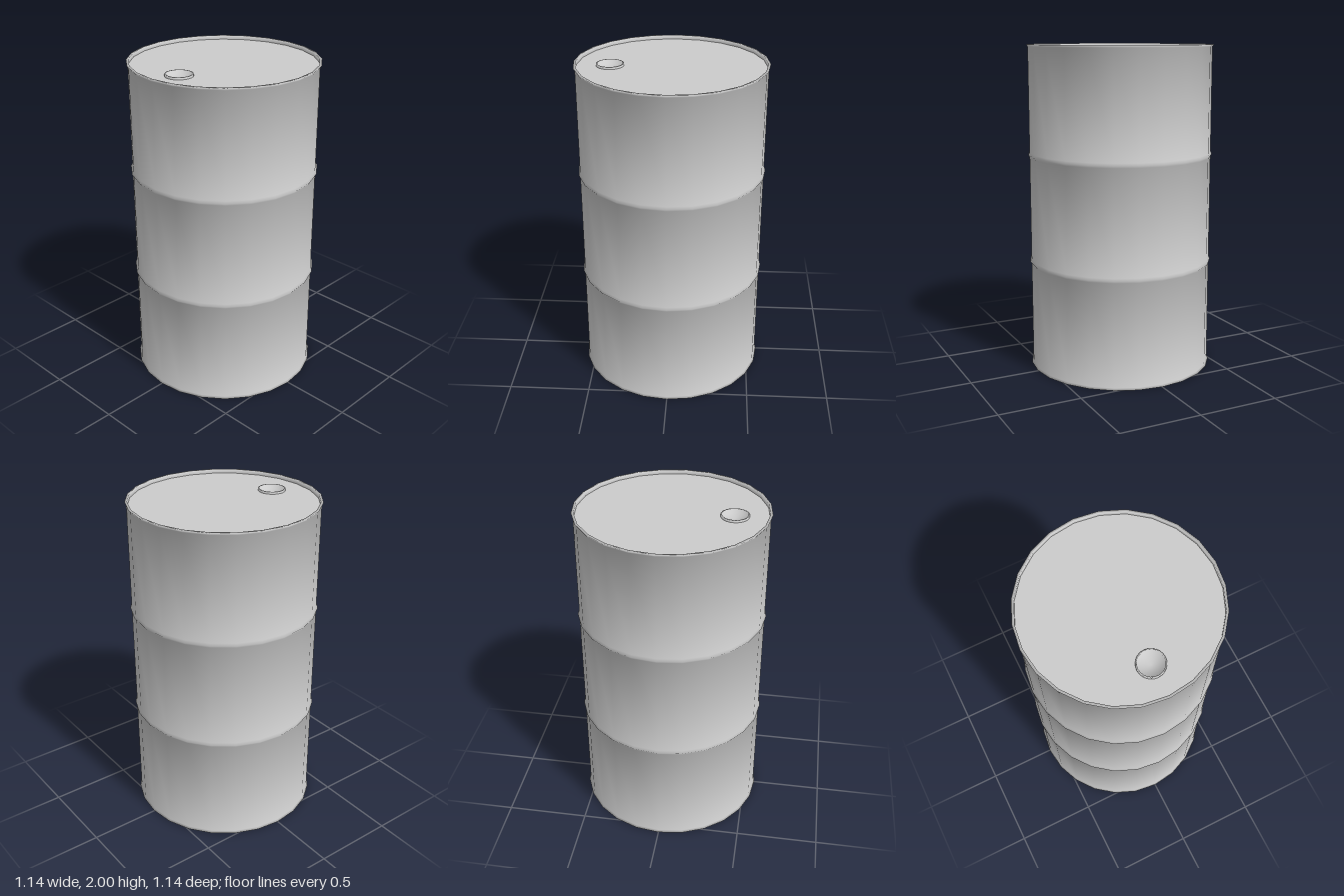
import * as THREE from 'three';

const SIDES = 24;
const R = 0.561;       // wall radius
const RIB = 0.57;      // rib and rim radius
const INNER = 0.555;   // inside of the rims
const LID_Y = 1.975;   // recessed lid height
const BASE_Y = 0.03;   // recessed bottom height

// Turned part whose normals average the neighbouring slopes equally, for soft ribs
function lathe(name, points, material) {
  const profile = points.map(([x, y]) => new THREE.Vector2(x, y));
  const slopes = profile.slice(1).map((p, j) =>
    new THREE.Vector2(p.y - profile[j].y, profile[j].x - p.x).normalize());
  const normals = profile.map((p, j) => {
    const before = slopes[Math.max(j - 1, 0)];
    const after = slopes[Math.min(j, slopes.length - 1)];
    return before.clone().add(after).normalize();
  });
  const geometry = new THREE.LatheGeometry(profile, SIDES);
  const normal = geometry.attributes.normal;
  for (let k = 0; k < normal.count; k++) {
    const n = normals[k % profile.length];
    const a = (Math.floor(k / profile.length) / SIDES) * Math.PI * 2;
    normal.setXYZ(k, n.x * Math.sin(a), n.y, n.x * Math.cos(a));
  }
  const mesh = new THREE.Mesh(geometry, material);
  mesh.name = name;
  return mesh;
}

// Regular outline for the lid and its hole
function ring(path, cy, r) {
  for (let i = 0; i < SIDES; i++) {
    const a = (i / SIDES) * Math.PI * 2;
    const x = Math.cos(a) * r, y = cy + Math.sin(a) * r;
    if (i) path.lineTo(x, y); else path.moveTo(x, y);
  }
  path.closePath();
  return path;
}

export function createModel() {
  const group = new THREE.Group();
  group.name = 'drum';
  const grey = new THREE.MeshStandardMaterial({ color: 0xcccccc });

  // Rolling ribs around the wall
  const ribs = [0.667, 1.335].flatMap((y) => [[R, y - 0.014], [RIB, y], [R, y + 0.014]]);

  // Recessed bottom, lower rim, ribbed wall and upper rim in one profile
  group.add(lathe('drumShell', [
    [0, BASE_Y], [INNER, BASE_Y], [INNER, 0], [RIB, 0.002], [R, 0.014],
    ...ribs,
    [R, 1.986], [RIB, 1.998], [INNER, 2], [INNER, LID_Y],
  ], grey));

  // Flat lid with the filler hole near the front
  const holeZ = 0.358;
  const lidShape = ring(new THREE.Shape(), 0, INNER);
  lidShape.holes.push(ring(new THREE.Path(), -holeZ, 0.078));
  const lid = new THREE.Mesh(new THREE.ShapeGeometry(lidShape).rotateX(-Math.PI / 2), grey);
  lid.name = 'lid';
  lid.position.y = LID_Y;
  group.add(lid);

  // Raised collar with a sunken plug
  const plug = lathe('fillerPlug', [
    [0.082, -0.002], [0.082, 0.012], [0.074, 0.013], [0.074, -0.015], [0, -0.015],
  ], grey);
  plug.position.set(0, LID_Y, holeZ);
  group.add(plug);

  return group;
}
